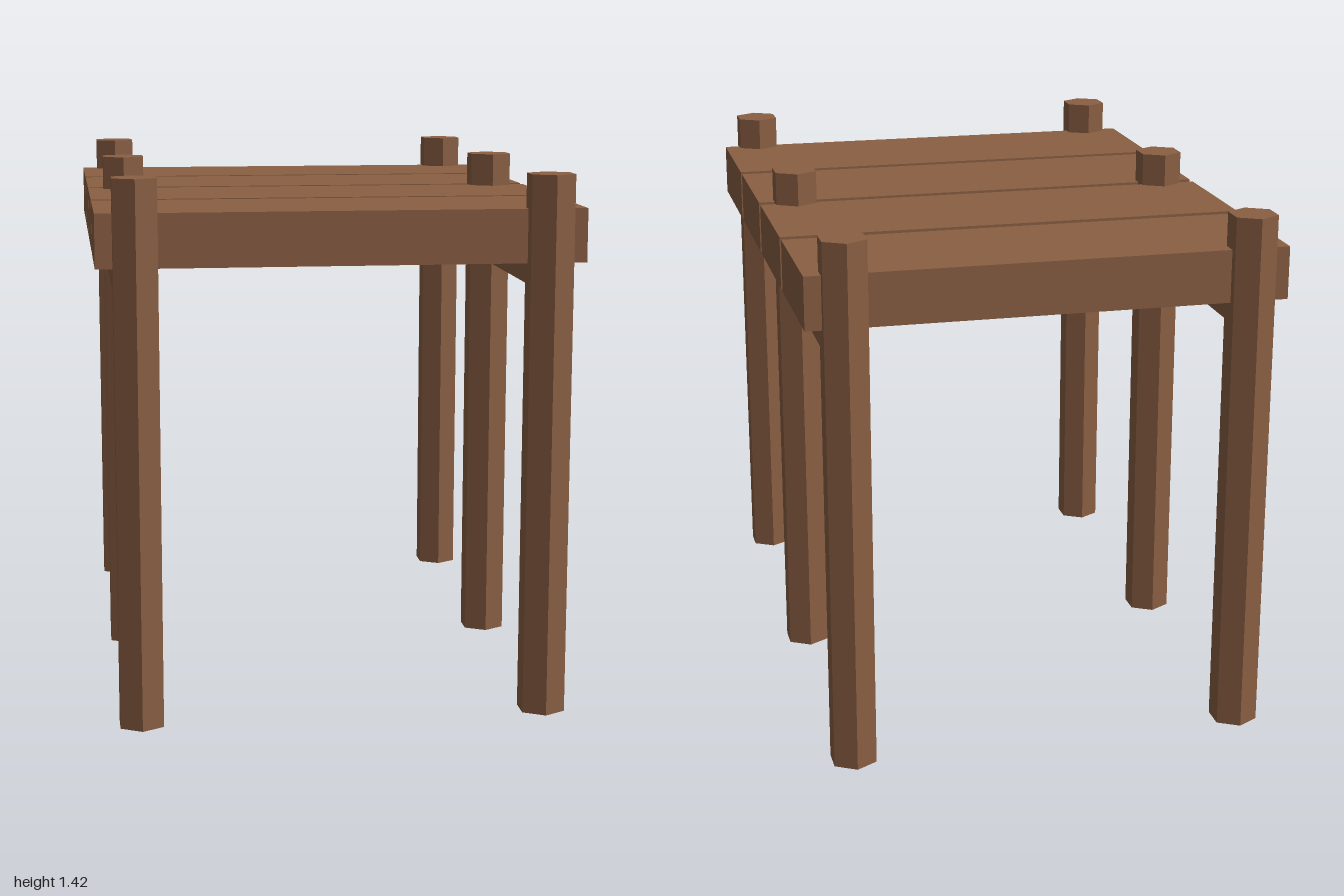
import * as THREE from 'three';

export function createModel() {
  const model = new THREE.Group();
  model.name = 'woodenPlatform';
  const wood = new THREE.MeshStandardMaterial({ color: 0x8a5f43, flatShading: true });

  const add = (name, geometry, x, y, z) => {
    const mesh = new THREE.Mesh(geometry, wood);
    mesh.name = name;
    mesh.position.set(x, y, z);
    model.add(mesh);
  };

  const halfSpan = 0.53, halfRun = 0.78, radius = 0.065, postHeight = 1.42;
  const postGeometry = new THREE.CylinderGeometry(radius, radius, postHeight, 6);
  // hexagonal beam lying along z, with a ridge at top and bottom
  const beamGeometry = new THREE.CylinderGeometry(radius, radius, halfRun * 2, 6).rotateX(Math.PI / 2);
  const plankGeometry = new THREE.BoxGeometry(1.26, 0.14, 0.37);

  // two rows of three posts, each row joined by a beam
  for (const [side, label] of [[-1, 'right'], [1, 'left']]) {
    for (const row of [-1, 0, 1]) {
      add(`${label}Post${row + 2}`, postGeometry, side * halfSpan, postHeight / 2, row * halfRun);
    }
    add(`${label}Beam`, beamGeometry, side * halfSpan, 1.17, 0);
  }

  // four deck planks across the beams
  for (let i = 0; i < 4; i++) {
    add(`plank${i + 1}`, plankGeometry, 0, 1.26, -0.605 + i * 0.398);
  }

  // the whole platform stands turned by 30 degrees
  model.rotation.y = Math.PI / 6;
  const root = new THREE.Group();
  root.name = 'platform';
  root.add(model);
  return root;
}
